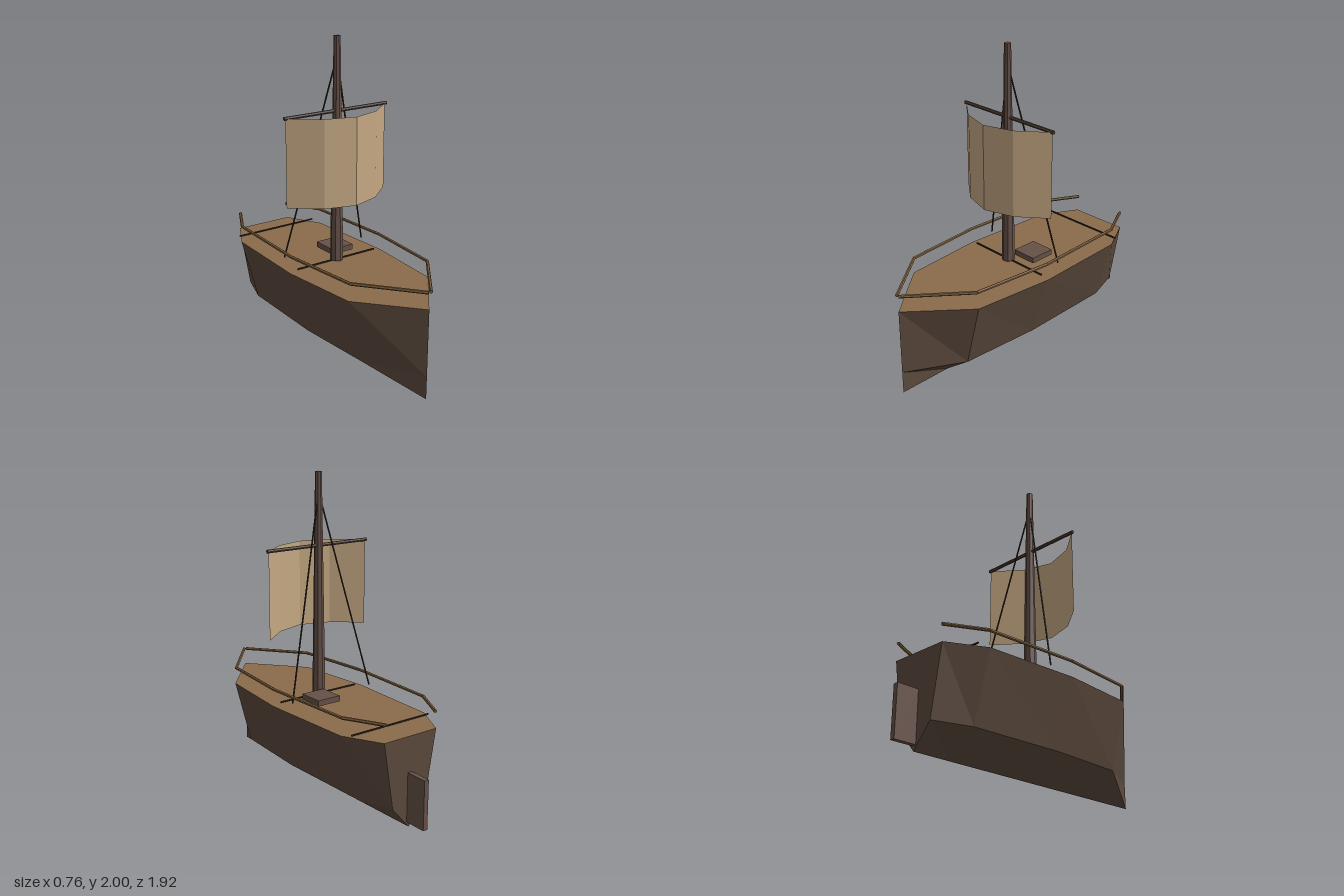
import * as THREE from 'three';

const mat = (name, color, extra = {}) =>
  Object.assign(new THREE.MeshStandardMaterial({ color, flatShading: true, ...extra }), { name });

// Deck outline, bow to stern: [z, half width]
const STATIONS = [[0.955, 0], [0.6, 0.302], [0.068, 0.352], [-0.575, 0.322], [-0.813, 0.198]];
const DECK_Y = 0.57, CHINE_Y = 0.145, CHINE = 0.635, MAST_Z = 0.068;

export function createModel() {
  const model = new THREE.Group();
  const hullMat = mat('hull wood', 0x5c4a3d);
  const deckMat = mat('deck wood', 0x8b6b4a);
  const railMat = mat('rail wood', 0x7d5f3c);
  const sparMat = mat('spar wood', 0x655047);
  const yardMat = mat('dark spar wood', 0x533f33);
  const ropeMat = mat('rope', 0x33291f);
  const sailMat = mat('sail cloth', 0xc4a882, { side: THREE.DoubleSide });

  const add = (name, geometry, material, x = 0, y = 0, z = 0, parent = model) => {
    const mesh = new THREE.Mesh(geometry, material);
    mesh.name = name;
    mesh.position.set(x, y, z);
    parent.add(mesh);
    return mesh;
  };

  // Round bar between two points
  const bar = (name, a, b, radius, sides, material, parent = model) => {
    const from = new THREE.Vector3(...a), to = new THREE.Vector3(...b);
    const dir = to.clone().sub(from);
    const mesh = add(name, new THREE.CylinderGeometry(radius, radius, dir.length(), sides), material, 0, 0, 0, parent);
    mesh.position.copy(from).add(to).multiplyScalar(0.5);
    mesh.quaternion.setFromUnitVectors(new THREE.Vector3(0, 1, 0), dir.normalize());
    return mesh;
  };

  // Hull: deck edge, chine and keel joined from station to station
  const positions = [];
  const face = (...p) => {
    for (let i = 1; i < p.length - 1; i++) positions.push(...p[0], ...p[i], ...p[i + 1]);
  };
  const section = ([z, w], s) => [[s * w, DECK_Y, z], [s * w * CHINE, CHINE_Y, z], [0, 0, z]];
  for (const s of [1, -1]) {
    for (let i = 0; i < STATIONS.length - 1; i++) {
      const fore = section(STATIONS[i], s), aft = section(STATIONS[i + 1], s);
      for (let k = 0; k < 2; k++) {
        const quad = [fore[k], fore[k + 1], aft[k + 1], aft[k]];
        face(...(s > 0 ? quad : quad.reverse()));
      }
    }
  }
  const stern = STATIONS[STATIONS.length - 1];
  face(...section(stern, 1), ...section(stern, -1).slice(0, 2).reverse());
  const hull = new THREE.BufferGeometry();
  hull.setAttribute('position', new THREE.Float32BufferAttribute(positions, 3));
  hull.computeVertexNormals();
  add('hull', hull, hullMat);

  // Deck
  const outline = [
    ...STATIONS.map(([z, w]) => new THREE.Vector2(w, -z)),
    ...STATIONS.slice(1).reverse().map(([z, w]) => new THREE.Vector2(-w, -z)),
  ];
  add('deck', new THREE.ShapeGeometry(new THREE.Shape(outline)).rotateX(-Math.PI / 2), deckMat, 0, DECK_Y, 0);

  // Thin dark seams across the deck
  for (const z of [MAST_Z, -0.64]) add('deckSeam', new THREE.BoxGeometry(0.595, 0.008, 0.008), ropeMat, 0, 0.586, z);

  // Rails follow the deck edge on both sides
  const rails = new THREE.Group();
  rails.name = 'rails';
  model.add(rails);
  for (const s of [1, -1]) {
    const path = STATIONS.map(([z, w]) => [s * Math.max(w - 0.01, 0.008), 0.677, z]);
    for (let i = 0; i < path.length - 1; i++) bar('rail', path[i], path[i + 1], 0.0105, 6, railMat, rails);
  }

  // Mast, yard and stays
  add('mast', new THREE.CylinderGeometry(0.021, 0.042, 1.415, 8), sparMat, 0, 1.2925, MAST_Z);
  bar('yard', [-0.38, 1.548, MAST_Z], [0.38, 1.548, MAST_Z], 0.0115, 6, yardMat);
  for (const s of [1, -1]) bar('stay', [0, 1.88, MAST_Z], [s * 0.303, 0.62, -0.072], 0.005, 4, ropeMat);

  // Square sail bellied forward in four panels
  const sail = new THREE.PlaneGeometry(0.74, 0.55, 4, 1);
  const p = sail.attributes.position;
  for (let i = 0; i < p.count; i++) {
    const t = p.getX(i) / 0.37;
    p.setX(i, p.getX(i) * (Math.abs(t) < 0.9 ? 1.04 : 1));
    p.setZ(i, 0.202 * Math.cos(t * Math.PI / 2));
  }
  sail.computeVertexNormals();
  add('sail', sail, sailMat, 0, 1.273, MAST_Z);

  // Hatch and rudder
  add('hatch', new THREE.BoxGeometry(0.165, 0.036, 0.17), sparMat, 0.086, 0.612, -0.072);
  add('rudder', new THREE.BoxGeometry(0.032, 0.312, 0.145), sparMat, 0, 0.19, -0.8825);

  return model;
}
